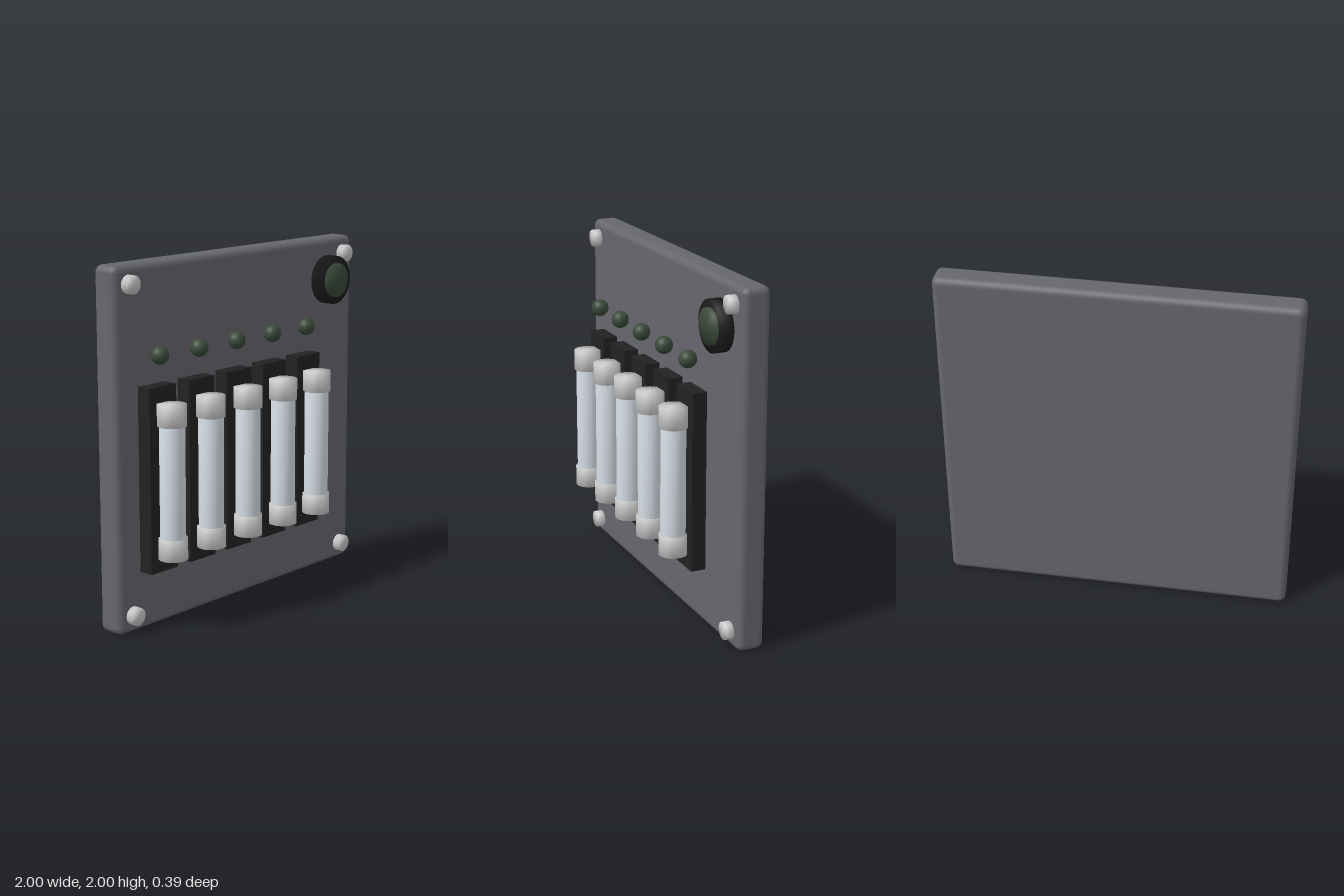
import * as THREE from 'three';
import { RoundedBoxGeometry } from 'three/addons/geometries/RoundedBoxGeometry.js';
import { mergeVertices } from 'three/addons/utils/BufferGeometryUtils.js';

const mat = (color) => new THREE.MeshStandardMaterial({ color });

// Closed cylinder whose normals blend softly over the rim
function softCylinder(radius, height) {
  const g = new THREE.CylinderGeometry(radius, radius, height, 32);
  g.deleteAttribute('normal');
  g.deleteAttribute('uv');
  const welded = mergeVertices(g, 1e-4);
  welded.computeVertexNormals();
  return welded;
}

export function createModel() {
  const model = new THREE.Group();
  model.name = 'fusePanel';
  const panelMat = mat(0x66666e);
  const holderMat = mat(0x222222);
  const ringMat = mat(0x1a1a1a);
  const lampMat = mat(0x3a4a3a);
  const glassMat = mat(0xd8e0e8);
  const metalMat = mat(0xcccccc);

  const add = (parent, name, geometry, material, x, y, z) => {
    const mesh = new THREE.Mesh(geometry, material);
    mesh.name = name;
    mesh.position.set(x, y, z);
    parent.add(mesh);
    return mesh;
  };

  // Back panel
  add(model, 'panel', new RoundedBoxGeometry(2, 2, 0.158, 3, 0.04), panelMat, 0, 1, -0.111);

  // Corner screws
  const screwGeo = softCylinder(0.05, 0.05).rotateX(Math.PI / 2);
  for (const x of [-0.9, 0.9])
    for (const y of [0.1, 1.9]) add(model, 'screw', screwGeo, metalMat, x, y, -0.013);

  // Push button: dark ring and raised face
  add(model, 'buttonRing', softCylinder(0.142, 0.07).rotateX(Math.PI / 2), ringMat, 0.755, 1.757, 0);
  add(model, 'buttonFace', softCylinder(0.1, 0.06).rotateX(Math.PI / 2), lampMat, 0.755, 1.757, 0.023);

  // Five fuses, each with a holder and an indicator lamp
  const holderGeo = new THREE.BoxGeometry(0.204, 1.02, 0.088);
  const glassGeo = softCylinder(0.07, 0.76);
  const capGeo = softCylinder(0.08, 0.118);
  const lampGeo = new THREE.SphereGeometry(0.05, 24, 16);
  for (let i = 0; i < 5; i++) {
    const unit = new THREE.Group();
    unit.name = 'fuseUnit';
    unit.position.x = -0.737 + i * 0.306;
    model.add(unit);
    add(unit, 'holder', holderGeo, holderMat, 0, 0.84, 0.009);
    add(unit, 'glassTube', glassGeo, glassMat, 0, 0.838, 0.117);
    add(unit, 'topCap', capGeo, metalMat, 0, 1.204, 0.117);
    add(unit, 'bottomCap', capGeo, metalMat, 0, 0.471, 0.117);
    add(unit, 'lamp', lampGeo, lampMat, 0, 1.513, 0.034);
  }
  return model;
}
